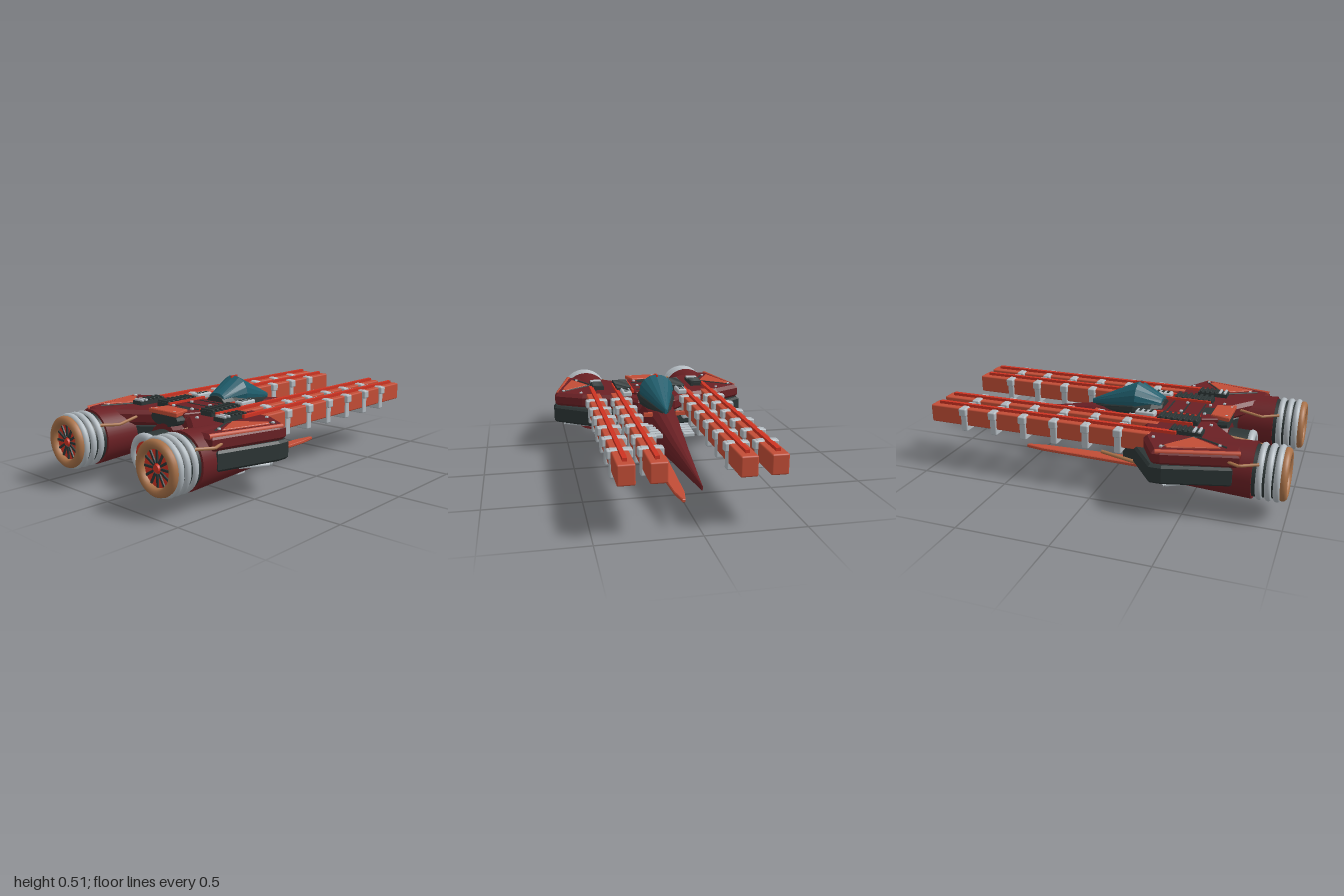
import * as THREE from 'three';
import { RoundedBoxGeometry } from 'three/addons/geometries/RoundedBoxGeometry.js';

const mat = (name, color) => {
  const m = new THREE.MeshStandardMaterial({ color });
  m.name = name;
  return m;
};

export function createModel() {
  const root = new THREE.Group();
  root.name = 'raiderShip';
  const maroon = mat('maroon', 0x6a2024);
  const coral = mat('coral', 0xc24d36);
  const red = mat('brightRed', 0xcf3322);
  const charcoal = mat('charcoal', 0x2c3535);
  const silver = mat('silver', 0xb2bac0);
  const copper = mat('copper', 0xa87148);
  const teal = mat('teal', 0x1f5d6c);

  const add = (name, geo, m, x = 0, y = 0, z = 0) => {
    const mesh = new THREE.Mesh(geo, m);
    mesh.name = name;
    mesh.position.set(x, y, z);
    root.add(mesh);
    return mesh;
  };
  const box = (name, m, w, h, d, x, y, z) => add(name, new THREE.BoxGeometry(w, h, d), m, x, y, z);
  const round = (name, m, w, h, d, x, y, z, r = 0.008) =>
    add(name, new RoundedBoxGeometry(w, h, d, 2, r), m, x, y, z);
  // Cylinder lying along z
  const barrel = (name, m, rFront, rBack, z0, z1, x, y, sides = 40) =>
    add(name, new THREE.CylinderGeometry(rFront, rBack, z1 - z0, sides).rotateX(Math.PI / 2), m, x, y, (z0 + z1) / 2);
  const ring = (name, m, R, t, x, y, z) => add(name, new THREE.TorusGeometry(R, t, 12, 40), m, x, y, z);
  const pipe = (name, m, pts, r) => {
    const path = new THREE.CurvePath();
    const v = pts.map(p => new THREE.Vector3(...p));
    for (let i = 1; i < v.length; i++) path.add(new THREE.LineCurve3(v[i - 1], v[i]));
    return add(name, new THREE.TubeGeometry(path, (v.length - 1) * 6, r, 8), m);
  };
  // Plate cut from a plan outline of [x, z] points
  const plate = (name, m, pts, y0, y1, bevel = 0) => {
    const shape = new THREE.Shape(pts.map(([x, z]) => new THREE.Vector2(x, -z)));
    const geo = new THREE.ExtrudeGeometry(shape, {
      depth: y1 - y0 - 2 * bevel, bevelEnabled: bevel > 0, bevelSize: bevel,
      bevelThickness: bevel, bevelOffset: -bevel, bevelSegments: 1,
    });
    return add(name, geo.rotateX(-Math.PI / 2), m, 0, y0 + bevel, 0);
  };
  // Faceted skin over elliptical sections [z, halfWidth, bottom, top]
  const loft = (name, m, sections, n = 16) => {
    const pos = [], idx = [];
    for (const [z, w, b, t] of sections) {
      for (let j = 0; j < n; j++) {
        const a = (j / n) * Math.PI * 2;
        pos.push(w * Math.cos(a), (b + t) / 2 + ((t - b) / 2) * Math.sin(a), z);
      }
    }
    const last = sections.length - 1;
    for (let i = 0; i < last; i++) {
      for (let j = 0; j < n; j++) {
        const a = i * n + j, b = i * n + (j + 1) % n;
        idx.push(a, b, a + n, b, b + n, a + n);
      }
    }
    for (let j = 1; j < n - 1; j++) idx.push(0, j + 1, j, last * n, last * n + j, last * n + j + 1);
    const g = new THREE.BufferGeometry();
    g.setAttribute('position', new THREE.Float32BufferAttribute(pos, 3));
    g.setIndex(idx);
    const flat = g.toNonIndexed();
    flat.computeVertexNormals();
    return add(name, flat, m);
  };
  const mirrored = half => [...half, ...half.slice().reverse().map(([x, z]) => [-x, z])];

  // Hull with long pointed nose
  loft('hull', maroon, [
    [-0.95, 0.004, 0.198, 0.224], [-0.5, 0.05, 0.16, 0.285], [-0.16, 0.088, 0.13, 0.345],
    [0.1, 0.115, 0.11, 0.37], [0.3, 0.135, 0.085, 0.37], [0.55, 0.14, 0.06, 0.36], [0.63, 0.12, 0.065, 0.32],
  ]);

  // Cockpit
  loft('cockpitFrame', charcoal, [
    [-0.15, 0.02, 0.3, 0.355], [0.1, 0.106, 0.3, 0.42], [0.2, 0.1, 0.3, 0.42], [0.26, 0.07, 0.32, 0.41],
  ]);
  loft('canopy', teal, [[-0.17, 0.008, 0.34, 0.37], [0.11, 0.1, 0.325, 0.505], [0.25, 0.056, 0.37, 0.425]]);
  box('canopyPin', red, 0.008, 0.012, 0.05, 0, 0.5, 0.11);

  // Wing body: charcoal lower band and maroon deck
  plate('wingLowerBand', charcoal, mirrored([
    [0.13, 0.14], [0.38, 0.2], [0.58, 0.345], [0.58, 0.41], [0.49, 0.74], [0.36, 0.74], [0.22, 0.64], [0.12, 0.57],
  ]), 0.185, 0.285, 0.012);
  plate('wingDeck', maroon, mirrored([
    [0.11, 0.1], [0.2, 0.2], [0.42, 0.27], [0.572, 0.355], [0.572, 0.4], [0.485, 0.77], [0.34, 0.77], [0.21, 0.66], [0.11, 0.58],
  ]), 0.28, 0.362, 0.02);
  plate('centreDeck', maroon, mirrored([[0.1, 0.22], [0.13, 0.26], [0.13, 0.5], [0.1, 0.58]]), 0.35, 0.378, 0.006);
  for (const z of [0.29, 0.38, 0.47]) box('deckSeam', charcoal, 0.18, 0.004, 0.008, 0, 0.379, z);

  // Rear deck hatch and centre engine
  plate('rearHatch', coral, mirrored([[0.075, 0.535], [0.105, 0.64]]), 0.366, 0.39, 0.004);
  loft('hatchHousing', charcoal, [[0.48, 0.1, 0.29, 0.385], [0.63, 0.1, 0.305, 0.385]]);
  barrel('centreEngine', charcoal, 0.108, 0.112, 0.58, 0.755, 0, 0.18);
  ring('centreEngineRing', silver, 0.09, 0.023, 0, 0.18, 0.75);
  barrel('centreEngineGlow', red, 0.07, 0.07, 0.75, 0.76, 0, 0.18);

  // Landing skid
  plate('skid', coral, mirrored([[0.008, -0.61], [0.028, -0.5], [0.056, 0.2], [0.056, 0.57]]), 0, 0.02, 0.004);
  box('skidRearStrut', charcoal, 0.07, 0.09, 0.27, 0, 0.06, 0.43);
  box('skidFrontStrut', charcoal, 0.045, 0.12, 0.06, 0, 0.075, 0.05);

  for (const s of [-1, 1]) {
    // Side engine
    const ex = 0.345 * s, ey = 0.23;
    barrel('engineBody', maroon, 0.145, 0.125, 0.42, 0.83, ex, ey);
    barrel('engineNozzle', charcoal, 0.127, 0.132, 0.82, 0.965, ex, ey);
    for (const z of [0.865, 0.91, 0.952]) ring('engineRing', silver, 0.128, 0.017, ex, ey, z);
    ring('engineLip', copper, 0.112, 0.023, ex, ey, 0.977);
    barrel('engineGlow', red, 0.1, 0.1, 0.955, 0.972, ex, ey);
    for (let i = 0; i < 12; i++) {
      const a = (i / 12) * Math.PI * 2;
      const spoke = box('engineSpoke', charcoal, 0.062, 0.011, 0.008,
        ex + 0.057 * Math.cos(a), ey + 0.057 * Math.sin(a), 0.975);
      spoke.rotation.z = a;
    }
    barrel('engineHub', red, 0.018, 0.02, 0.97, 0.985, ex, ey, 20);
    pipe('engineInnerPipe', copper, [[0.2, 0.33, 0.64], [0.185, 0.31, 0.77], [0.225, 0.315, 0.86]].map(p => [p[0] * s, p[1], p[2]]), 0.008);
    pipe('engineOuterPipe', copper, [[0.48, 0.325, 0.67], [0.503, 0.31, 0.77], [0.465, 0.315, 0.86]].map(p => [p[0] * s, p[1], p[2]]), 0.008);

    // Twin long beams with clamps and top rails
    for (const [bx, end] of [[0.205, 0.47], [0.35, 0.42]]) {
      round('beam', coral, 0.084, 0.1, 1.29, bx * s, 0.315, -0.355);
      box('beamRail', red, 0.022, 0.016, end + 0.96, bx * s, 0.374, (end - 0.96) / 2);
      for (let i = 0; i < 6; i++) {
        const z = -0.79 + i * 0.182;
        round('beamClamp', silver, 0.098, 0.14, 0.04, bx * s, 0.302, z);
        round('clampBar', silver, 0.124, 0.045, 0.046, bx * s, 0.347, z);
      }
    }

    // Wing trim and top panels
    plate('wingPanel', coral, [[0.36, 0.51], [0.5, 0.4], [0.525, 0.42], [0.45, 0.67]].map(([x, z]) => [x * s, z]), 0.355, 0.369, 0.003);
    pipe('wingEdgeRail', coral, [[0.56 * s, 0.35, 0.37], [0.463 * s, 0.355, 0.77]], 0.013);
    pipe('wingLeadingTrim', charcoal, [[0.53 * s, 0.36, 0.38], [0.34 * s, 0.362, 0.52], [0.43 * s, 0.362, 0.7]], 0.006);
    for (const [x, z] of [[0.52, 0.39], [0.42, 0.32], [0.42, 0.66], [0.17, 0.56], [0.07, 0.5], [0.07, 0.62], [0.07, 0.37]])
      round('rivet', silver, 0.016, 0.012, 0.016, x * s, x < 0.1 ? 0.385 : 0.365, z, 0.004);

    // Slatted vents
    box('outerVent', charcoal, 0.07, 0.025, 0.17, 0.31 * s, 0.37, 0.465);
    for (let i = 0; i < 6; i++) round('outerVentSlat', i > 3 ? silver : charcoal, 0.066, 0.014, 0.014, 0.31 * s, 0.386, 0.395 + i * 0.028, 0.004);
    box('innerVent', charcoal, 0.08, 0.03, 0.22, 0.165 * s, 0.372, 0.385);
    for (let i = 0; i < 7; i++) round('innerVentSlat', charcoal, 0.088, 0.02, 0.016, 0.165 * s, 0.388, 0.295 + i * 0.031, 0.004);
    box('ventRail', red, 0.012, 0.02, 0.26, 0.118 * s, 0.38, 0.36);
    round('switchBox', silver, 0.055, 0.03, 0.11, 0.165 * s, 0.385, 0.2);
    for (let i = 0; i < 3; i++) box('switchSlot', charcoal, 0.03, 0.008, 0.014, 0.165 * s, 0.398, 0.17 + i * 0.03);
    box('shoulderBar', coral, 0.05, 0.02, 0.025, 0.09 * s, 0.33, -0.115);

    // Cooling fins on the neck
    for (let i = 0; i < 5; i++) round('neckFin', silver, 0.06, 0.022, 0.026, (0.085 + i * 0.002) * s, 0.275, -0.345 + i * 0.043, 0.005);

    // Underside gear, braces and pods
    box('underBox', coral, 0.1, 0.06, 0.18, 0.29 * s, 0.135, 0.47);
    round('underBoxCap', silver, 0.06, 0.035, 0.06, 0.31 * s, 0.09, 0.42);
    box('underBoxMount', charcoal, 0.06, 0.04, 0.1, 0.29 * s, 0.175, 0.47);
    pipe('underBrace', silver, [[0.13 * s, 0.165, 0.58], [0.53 * s, 0.16, 0.4]], 0.011);
    pipe('underBrace', silver, [[0.15 * s, 0.165, 0.2], [0.53 * s, 0.16, 0.4], [0.42 * s, 0.165, 0.62]], 0.009);
    round('skidPod', charcoal, 0.042, 0.05, 0.36, 0.11 * s, 0.038, 0.39, 0.012);
    box('skidPodArm', charcoal, 0.07, 0.02, 0.06, 0.06 * s, 0.045, 0.42);
    round('skidPodFoot', silver, 0.06, 0.014, 0.03, 0.095 * s, 0.03, 0.5, 0.005);
    pipe('bellyPipe', copper, [[0.13, 0.125, 0.52], [0.135, 0.07, 0.4], [0.125, 0.045, 0.25], [0.06, 0.07, -0.1]].map(p => [p[0] * s, p[1], p[2]]), 0.011);
  }
  return root;
}
